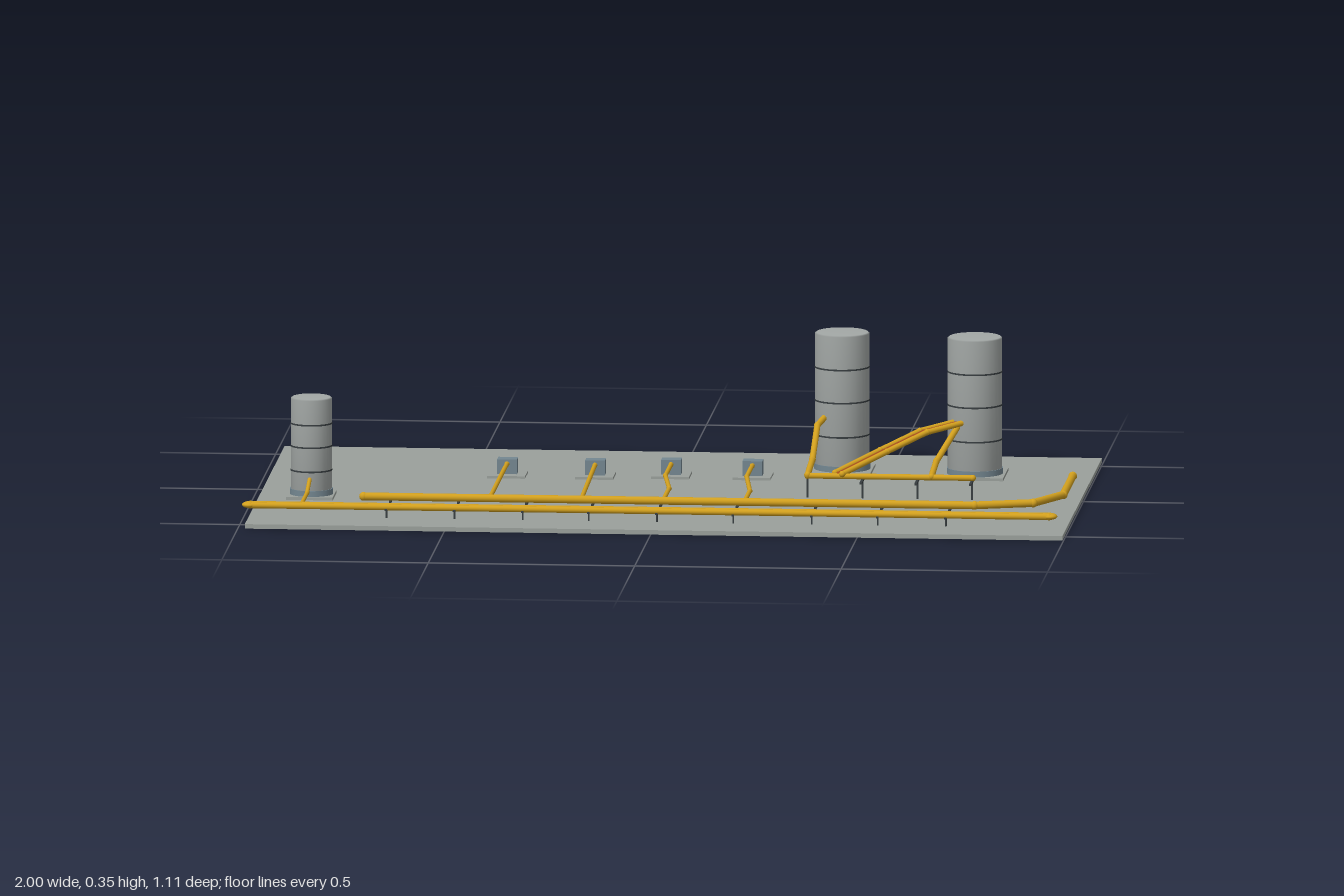
import * as THREE from 'three';

const mat = (name, color) => Object.assign(new THREE.MeshStandardMaterial({ color }), { name });

export function createModel() {
  const model = new THREE.Group();
  model.name = 'pipelineYard';
  const ground = mat('concrete grey', 0x9aa09b);
  const tankGrey = mat('tank grey', 0xa3a8a6);
  const gold = mat('pipe yellow', 0xd2a01e);
  const dark = mat('dark steel', 0x383e41);
  const blue = mat('pump blue grey', 0x748791);
  const rust = mat('rust red', 0xa84a1c);

  const add = (parent, name, geometry, material, x = 0, y = 0, z = 0) => {
    const m = new THREE.Mesh(geometry, material);
    m.name = name;
    m.position.set(x, y, z);
    parent.add(m);
    return m;
  };
  const box = (parent, name, w, h, d, material, x, y, z) =>
    add(parent, name, new THREE.BoxGeometry(w, h, d), material, x, y, z);

  // Straight pipe runs with ball joints at the bends and ends
  const pipe = (name, r, points, material = gold) => {
    const g = new THREE.Group();
    g.name = name;
    model.add(g);
    const pts = points.map((p) => new THREE.Vector3(...p));
    pts.forEach((p, i) => {
      add(g, 'joint', new THREE.SphereGeometry(r * 1.12, 14, 10), material, p.x, p.y, p.z);
      if (!i) return;
      const dir = p.clone().sub(pts[i - 1]);
      const mid = p.clone().add(pts[i - 1]).multiplyScalar(0.5);
      const run = add(g, 'pipeRun', new THREE.CylinderGeometry(r, r, dir.length(), 14, 1, true), material, mid.x, mid.y, mid.z);
      run.quaternion.setFromUnitVectors(new THREE.Vector3(0, 1, 0), dir.normalize());
    });
    return g;
  };

  // Ground slab
  box(model, 'groundSlab', 1.98, 0.011, 1.11, ground, 0.007, 0.0055, 0);

  // Storage tanks: soft-shaded shell, skirt, hoops and square footing
  const tank = (name, x, z, r, top, hoops) => {
    const g = new THREE.Group();
    g.name = name;
    g.position.set(x, 0, z);
    model.add(g);
    const profile = [[0, 0.018], [r, 0.018], [r, top - 0.003], [r - 0.004, top], [0, top]];
    add(g, 'shell', new THREE.LatheGeometry(profile.map((p) => new THREE.Vector2(...p)), 32), tankGrey);
    add(g, 'skirt', new THREE.CylinderGeometry(r + 0.002, r + 0.002, 0.014, 32), blue, 0, 0.025, 0);
    for (const y of hoops) {
      add(g, 'hoop', new THREE.CylinderGeometry(r + 0.001, r + 0.001, 0.004, 32, 1, true), dark, 0, y, 0);
    }
    box(g, 'footing', r * 2.25, 0.007, r * 2.25, ground, 0, 0.0145, 0);
  };
  tank('largeTankInner', 0.388, -0.32, 0.066, 0.352, [0.103, 0.187, 0.268]);
  tank('largeTankOuter', 0.713, -0.281, 0.066, 0.352, [0.103, 0.187, 0.268]);
  tank('smallTank', -0.857, 0.148, 0.05, 0.255, [0.078, 0.137, 0.192]);

  // Trunk line: twin pipes with rounded end caps
  for (const z of [0.431, 0.447]) {
    pipe('trunkPipe', 0.0075, [[-0.98, 0.039, z], [0.955, 0.039, z]]);
  }
  for (const x of [-0.982, 0.957]) {
    add(model, 'trunkEndCap', new THREE.SphereGeometry(0.018, 18, 12), gold, x, 0.039, 0.439).scale.y = 0.45;
  }

  // Collector header with dogleg
  pipe('collectorPipe', 0.0095, [
    [-0.715, 0.044, 0.328], [0.765, 0.044, 0.328], [0.903, 0.044, 0.283],
    [0.965, 0.044, 0.16], [0.965, 0.044, -0.105],
  ]);

  // Thin posts with saddles under both long lines
  for (const x of [-0.65, -0.485, -0.32, -0.16, 0.005, 0.19, 0.38, 0.54, 0.705]) {
    for (const [z, w] of [[0.439, 0.038], [0.328, 0.022]]) {
      box(model, 'pipePost', 0.004, 0.025, 0.004, dark, x, 0.0225, z);
      box(model, 'pipeSaddle', 0.006, 0.004, w, dark, x, 0.033, z);
    }
  }

  // Pumps, each on a footing, with feeder pipes running to the collector
  const pumps = [
    [-0.411, -0.188, [[-0.411, -0.17], [-0.411, 0.328]]],
    [-0.198, -0.19, [[-0.198, -0.17], [-0.189, 0.328]]],
    [-0.016, -0.213, [[-0.016, -0.195], [-0.016, -0.04], [0.009, 0.14], [0.009, 0.328]]],
    [0.181, -0.213, [[0.181, -0.195], [0.181, -0.04], [0.206, 0.16], [0.206, 0.328]]],
  ];
  for (const [x, z, path] of pumps) {
    const g = new THREE.Group();
    g.name = 'pump';
    g.position.set(x, 0, z);
    model.add(g);
    box(g, 'pumpFooting', 0.092, 0.006, 0.092, ground, 0, 0.014, 0);
    box(g, 'pumpBody', 0.048, 0.036, 0.036, blue, 0, 0.035, 0);
    pipe('feederPipe', 0.0055, path.map(([px, pz]) => [px, 0.042, pz]));
  }

  // Small tank outlet
  pipe('smallTankOutlet', 0.005, [[-0.857, 0.064, 0.185], [-0.857, 0.04, 0.27], [-0.857, 0.04, 0.439]]);

  // Manifold with cross-braced stands
  pipe('manifold', 0.007, [[0.337, 0.064, 0.059], [0.737, 0.064, 0.059]]);
  for (const x of [0.337, 0.47, 0.603, 0.735]) {
    if (x > 0.4) box(model, 'standCrossbar', 0.006, 0.005, 0.095, dark, x, 0.055, 0.059);
    box(model, 'standPost', 0.005, 0.046, 0.005, dark, x, 0.033, 0.059);
  }

  // Large tank risers
  pipe('innerTankRiser', 0.0075, [
    [0.337, 0.066, 0.059], [0.337, 0.08, -0.075], [0.337, 0.14, -0.215], [0.35, 0.15, -0.275],
  ]);
  pipe('outerTankRiser', 0.0075, [[0.637, 0.066, 0.059], [0.637, 0.08, -0.075], [0.678, 0.143, -0.238]]);

  // Diagonal bundle: two yellow pipes either side of a rust red one
  for (const [offset, r, material] of [[-0.013, 0.007, gold], [0, 0.0045, rust], [0.013, 0.007, gold]]) {
    const path = [[0.412, 0.07, 0.055], [0.51, 0.105, -0.07], [0.598, 0.137, -0.165], [0.685, 0.15, -0.24]];
    pipe('diagonalPipe', r, path.map(([x, y, z]) => [x + offset * 0.72, y, z + offset * 0.7]), material);
  }
  return model;
}
